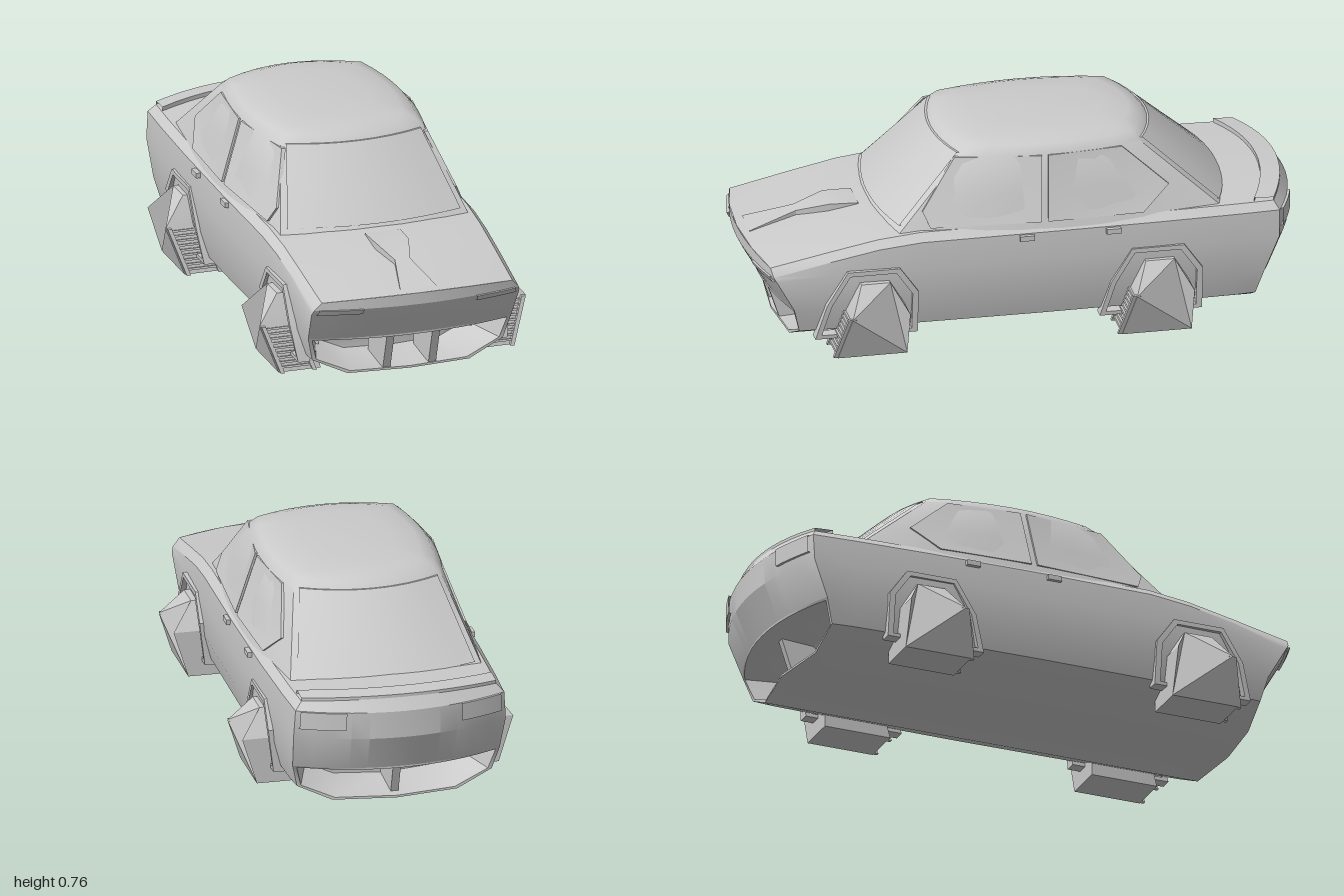
import * as THREE from 'three';
import { toCreasedNormals } from 'three/addons/utils/BufferGeometryUtils.js';

// Built with x forward, y up, z to the car's right, then turned to its parked angle.
const mat = new THREE.MeshStandardMaterial({ color: 0xcccccc, side: THREE.DoubleSide });
const lerp = THREE.MathUtils.lerp;

export function createModel() {
  const car = new THREE.Group();
  car.name = 'hoverCar';

  const add = (name, geo, crease = 0.6) => {
    const mesh = new THREE.Mesh(toCreasedNormals(geo, crease), mat);
    mesh.name = name;
    car.add(mesh);
  };

  // Skin over rows of [x, y, z] points
  const loft = (rows, closed = false) => {
    const n = rows[0].length, index = [];
    for (let i = 0; i < rows.length - 1; i++)
      for (let j = 0; j < (closed ? n : n - 1); j++) {
        const a = i * n + j, c = i * n + (j + 1) % n;
        index.push(a, a + n, c, c, a + n, c + n);
      }
    const g = new THREE.BufferGeometry();
    g.setAttribute('position', new THREE.Float32BufferAttribute(rows.flat(2), 3));
    g.setIndex(index);
    return g;
  };

  // Adds a part on the right side and its mirror image on the left
  const addPair = (name, geo, crease) => {
    add(name + 'Right', geo, crease);
    const m = (geo.index ? geo.toNonIndexed() : geo.clone()).scale(1, 1, -1);
    for (const key of Object.keys(m.attributes)) if (key !== 'position') m.deleteAttribute(key);
    const p = m.attributes.position, a = new THREE.Vector3(), b = new THREE.Vector3();
    for (let i = 0; i < p.count; i += 3) {
      a.fromBufferAttribute(p, i + 1);
      b.fromBufferAttribute(p, i + 2);
      p.setXYZ(i + 1, b.x, b.y, b.z);
      p.setXYZ(i + 2, a.x, a.y, a.z);
    }
    add(name + 'Left', m, crease);
  };

  const polygon = pts => new THREE.Shape(pts.map(p => new THREE.Vector2(...p)));
  const plate = (shape, depth) => new THREE.ExtrudeGeometry(shape, { depth, bevelEnabled: false });
  const moveZ = (g, rule) => {
    const p = g.attributes.position;
    for (let i = 0; i < p.count; i++) p.setZ(i, rule(p.getX(i), p.getY(i), p.getZ(i)));
    return g;
  };

  // ---- Lower body: cross-sections from tail to nose ----
  const noseLean = [-0.13, -0.13, -0.11, -0.08, -0.01, 0, 0, 0, 0];
  const tailLean = [0.14, 0.14, 0.1, 0.06, 0, 0, 0.03, 0.03, 0.03];
  const tail = { f: -0.965, w: 0.96, deck: 0.455, bow: -0.1, lean: tailLean };
  const nose = { f: 0.96, w: 0.965, deck: 0.352, bow: 0.06, lean: noseLean };
  const halfSection = ({ w, deck }) => [
    [0, 0.02], [0.24, 0.02], [0.39 * w, 0.085], [0.415 * w, 0.18], [0.425 * w, Math.min(0.32, deck - 0.05)],
    [0.418 * w, deck - 0.03], [0.39 * w, deck], [0.2, deck + 0.011], [0, deck + 0.015]];
  const bowed = (st, j, z) => st.f + (st.lean ? st.lean[j] : 0) + (st.bow || 0) * (1 - (z / 0.41) ** 2);
  const ring = st => {
    const half = halfSection(st).map(([z, y], j) => [bowed(st, j, z), y, z]);
    const left = half.slice(1, -1).reverse().map(([x, y, z]) => [x, y, -z]);
    return [...half, ...left];
  };
  const stations = [tail,
    { f: -0.8, w: 0.98, deck: 0.455 }, { f: -0.5, w: 1, deck: 0.455 }, { f: -0.05, w: 1.01, deck: 0.455 },
    { f: 0.4, w: 1, deck: 0.452 }, { f: 0.56, w: 0.99, deck: 0.435 }, { f: 0.74, w: 0.98, deck: 0.4 }, nose];
  add('body', loft(stations.map(ring), true), 0.5);

  // ---- Nose and tail: curved band above, open scoop below ----
  const across = Array.from({ length: 13 }, (_, i) => 1 - i / 6);
  const bandRow = (st, j, spanFrom = 1, spanTo = -1, out = 0) => {
    const [w, y] = halfSection(st)[j];
    return across.map(u => {
      const k = lerp(spanTo, spanFrom, (u + 1) / 2);
      return [bowed(st, j, k * w) + out, y + (j === 6 ? 0.015 * (1 - k * k) : 0), k * w];
    });
  };
  const mixRows = (a, b, t) => a.map((p, i) => p.map((v, k) => lerp(v, b[i][k], t)));

  for (const [end, st, dir] of [['nose', nose, 1], ['tail', tail, -1]]) {
    const rows = [3, 4, 5, 6].map(j => bandRow(st, j));
    add(end + 'Band', loft(dir > 0 ? rows : rows.reverse()), 0.4);

    // Scoop cavity
    const half = halfSection(st).slice(0, 4).map(([z, y], j) => [bowed(st, j, z), y, z]);
    const lip = [...half.slice().reverse(), ...half.slice(1).map(([x, y, z]) => [x, y, -z]),
      ...bandRow(st, 3).slice(1, -1).reverse()];
    const inner = lip.map(([x, y, z]) => [x, 0.105 + (y - 0.105) * 0.9, z * 0.96]);
    const deep = inner.map(([x, y, z]) => [x - dir * 0.2, 0.105 + (y - 0.105) * 0.8, z * 0.82]);
    const end0 = deep.map(() => [deep[3][0], 0.1, 0]);
    add(end + 'Scoop', loft([lip, inner, deep, end0], true), 0.5);

    // Upright vanes in the scoop
    for (const z of dir > 0 ? [-0.09, 0.09] : [0]) {
      const x = st.f - dir * 0.03;
      const vane = polygon([[x, 0.18], [x - dir * 0.05, 0.03], [x - dir * 0.22, 0.03], [x - dir * 0.22, 0.18]]);
      add(end + 'Vane', plate(vane, 0.03).translate(0, 0, z - 0.015));
    }

    // Corner lamps with a thin raised rim
    const low = bandRow(st, 4, 0.96, 0.55, dir * 0.01), high = bandRow(st, 5, 0.96, 0.55, dir * 0.01);
    const lampBase = dir > 0 ? mixRows(low, high, 0) : mixRows(low, high, 0.35);
    const back = r => r.map(([x, y, z]) => [x - dir * 0.02, y, z]);
    addPair(end + 'Lamp', loft([back(lampBase), lampBase, high, back(high)]), 0.4);
  }

  // Thin lip over the boot edge
  const lipTop = bandRow(tail, 6).map(([x, y, z]) => [x, y + 0.012, z]);
  const lipFront = lipTop.map(([x, y, z]) => [x + 0.075, y + 0.004, z]);
  const sink = r => r.map(([x, y, z]) => [x, y - 0.03, z]);
  add('bootLip', loft([sink(lipTop), lipTop, lipFront, sink(lipFront)]), 0.5);

  // Hood air channel: wide, pinched, then flared at the nose
  const scoop = [[0.57, 0.07, 0.45], [0.68, 0.066, 0.452], [0.8, 0.03, 0.422], [0.985, 0.072, 0.374]];
  add('hoodScoop', loft(scoop.map(([x, w, y]) => [[x, y - 0.06, w], [x, y, w], [x, y, -w], [x, y - 0.06, -w]])), 0.3);

  // ---- Cabin: stacked outlines from belt line to roof ----
  const base = { y: 0.43, front: 0.49, bowF: 0.06, rear: -0.775, bowR: 0.07, corner: 0.375, side: 0.415 };
  const top = { y: 0.705, front: 0.225, bowF: 0.06, rear: -0.46, bowR: 0.08, corner: 0.285, side: 0.33 };
  const level = (y, extra = {}) => {
    const t = (y - base.y) / (top.y - base.y), o = {};
    for (const key in base) o[key] = lerp(base[key], top[key], t);
    return { ...o, ...extra };
  };
  const sideZ = (L, x) => {
    const t = (x - (L.front + L.rear) / 2) / ((L.front - L.rear) / 2);
    return L.side - (L.side - L.corner) * t * t;
  };
  const endPoint = (L, k, front) => front
    ? [L.front + L.bowF * (1 - k * k), L.y, k * L.corner]
    : [L.rear - L.bowR * (1 - k * k), L.y, k * L.corner];
  const outline = L => {
    const pts = [], n = 8;
    for (let i = 0; i < n; i++) pts.push(endPoint(L, -1 + 2 * i / n, true));
    for (let i = 0; i < n; i++) { const x = lerp(L.front, L.rear, i / n); pts.push([x, L.y, sideZ(L, x)]); }
    for (let i = 0; i < n; i++) pts.push(endPoint(L, 1 - 2 * i / n, false));
    for (let i = 0; i < n; i++) { const x = lerp(L.rear, L.front, i / n); pts.push([x, L.y, -sideZ(L, x)]); }
    return pts;
  };
  const shrink = (L, y, d) => ({ ...L, y, front: L.front - d, rear: L.rear + d, corner: L.corner - d, side: L.side - d });
  const roof = [shrink(top, 0.733, 0.025), shrink(top, 0.748, 0.07), shrink(top, 0.757, 0.16)];
  const cabin = [base, level(0.57), top, ...roof].map(outline);
  cabin.push(cabin[0].map(() => [-0.12, 0.76, 0]));
  add('cabin', loft(cabin, true), 0.7);

  // Front and rear glass, raised slightly from the cabin
  for (const front of [true, false]) {
    const out = front ? 0.008 : -0.008;
    const row = (y, d) => across.map(u => {
      const [x, yy, z] = endPoint(level(y), u * 0.94, front);
      return [x + d, yy, z];
    });
    const rows = [row(0.465, -out), row(0.465, out), row(0.59, out), row(0.71, out), row(0.71, -out)];
    add(front ? 'windscreen' : 'rearWindow', loft(front ? rows.reverse() : rows), 0.5);
  }

  // Side windows follow the lean and bow of the cabin
  const panes = {
    frontWindow: [[-0.06, 0.462], [0.36, 0.462], [0.385, 0.52], [0.25, 0.7], [-0.075, 0.7]],
    rearSideWindow: [[-0.085, 0.462], [-0.1, 0.7], [-0.385, 0.7], [-0.555, 0.55], [-0.45, 0.462]]
  };
  for (const name in panes) {
    const g = moveZ(plate(polygon(panes[name].slice()), 0.016), (x, y, z) => sideZ(level(y), x) - 0.008 + z);
    addPair(name, g, 0.4);
  }

  // Door handles
  for (const x of [0, -0.33])
    addPair('doorHandle', new THREE.BoxGeometry(0.055, 0.02, 0.025).translate(x, 0.41, 0.425));

  // ---- Hover pods with arch trim, slatted front faces ----
  const podProfile = [[-0.13, 0], [0.135, 0], [0.09, 0.175], [0.04, 0.28], [-0.07, 0.28], [-0.13, 0.18]];
  const archProfile = [[-0.18, 0.06], [0.21, 0.06], [0.17, 0.2], [0.09, 0.33], [-0.11, 0.33], [-0.18, 0.23]];
  const podOuter = y => y < 0.175 ? lerp(0.465, 0.525, y / 0.175) : lerp(0.525, 0.44, (y - 0.175) / 0.105);
  for (const [place, x0] of [['front', 0.595], ['rear', -0.49]]) {
    const pod = moveZ(plate(polygon(podProfile), 1), (x, y, z) => z > 0.5 ? podOuter(y) : 0.3);
    addPair(place + 'Pod', pod.translate(x0, 0, 0), 0.3);

    const arch = polygon(archProfile);
    arch.holes.push(new THREE.Path(archProfile.map(([x, y]) =>
      new THREE.Vector2(0.01 + (x - 0.01) * 0.88, 0.18 + (y - 0.18) * 0.88))));
    const trim = moveZ(plate(arch, 1), (x, y, z) => (y < 0.1 ? 0.395 : 0.415) + (z > 0.5 ? 0.018 : -0.03));
    addPair(place + 'Arch', trim.translate(x0, 0, 0), 0.3);

    for (let i = 0; i < 9; i++) {
      const t = (i + 0.5) / 9, y = 0.01 + t * 0.16;
      const slat = new THREE.BoxGeometry(0.02, 0.008, 0.11).rotateZ(0.25);
      addPair(place + 'PodSlat', slat.translate(x0 + lerp(0.135, 0.09, t), y, podOuter(y) - 0.075));
    }
    // Rails framing the slats
    for (const inset of [0.012, 0.138]) {
      const rail = polygon([[0.12, 0], [0.15, 0], [0.105, 0.175], [0.075, 0.175]]);
      const g = moveZ(plate(rail, 0.016), (x, y, z) => podOuter(y) - inset - 0.008 + z);
      addPair(place + 'PodRail', g.translate(x0, 0, 0), 0.3);
    }
  }

  car.rotation.y = -THREE.MathUtils.degToRad(40);
  const model = new THREE.Group();
  model.add(car);
  return model;
}
